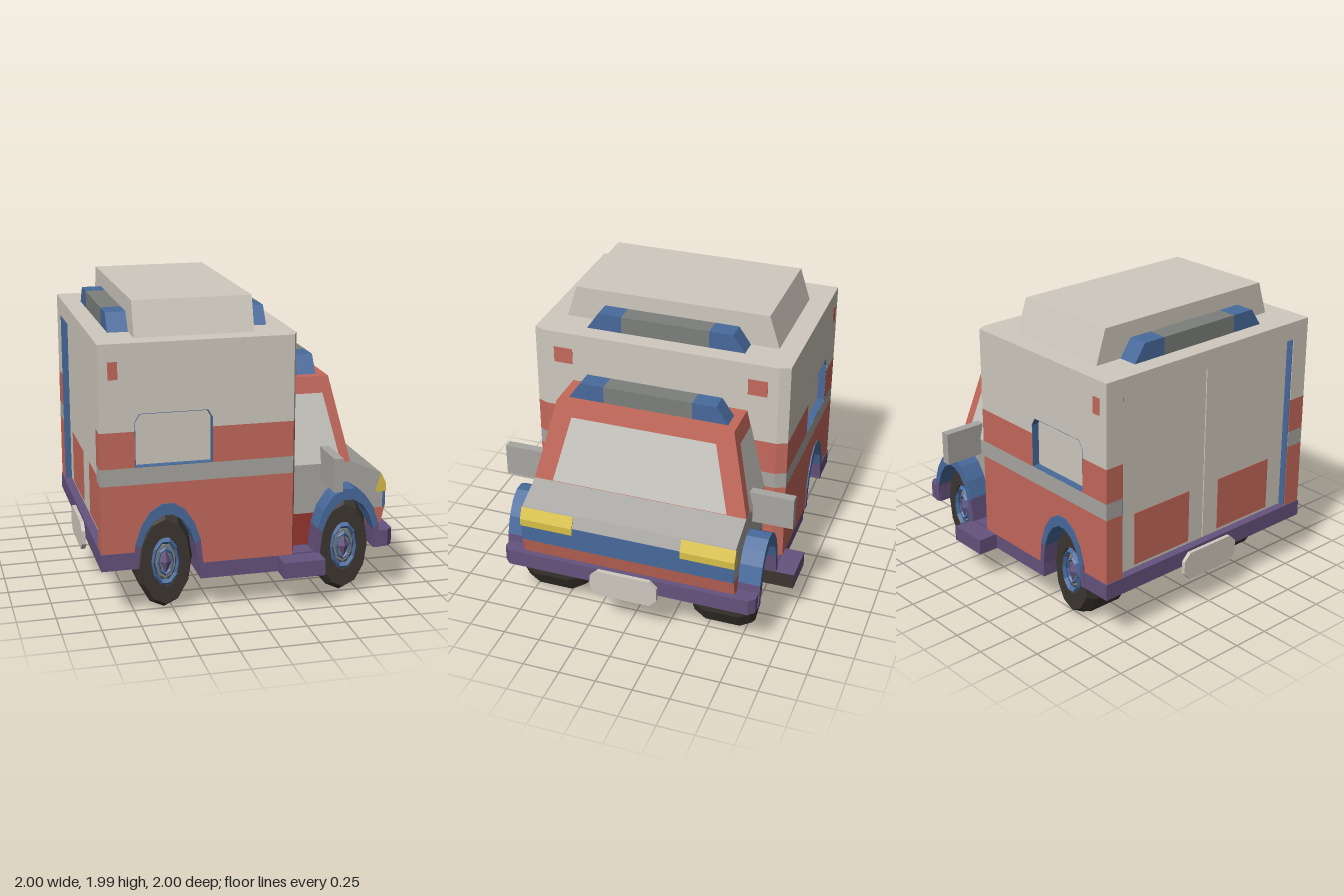
import * as THREE from 'three';

const C = {
  beige: 0xcfc9be, grey: 0xa8a6a2, glass: 0xcccac4, red: 0xc4695b, darkRed: 0x96362f, blue: 0x486a9c,
  purple: 0x65527d, dark: 0x3c3630, yellow: 0xd9c048, bar: 0x7c7f7c,
};

export function createModel() {
  const root = new THREE.Group();

  const mesh = (name, color, geo, parent = root) => {
    const m = new THREE.Mesh(geo, new THREE.MeshStandardMaterial({ color: C[color], flatShading: true }));
    m.name = name;
    parent.add(m);
    return m;
  };
  // box given by its limits
  const box = (name, color, x0, x1, y0, y1, z0, z1) =>
    mesh(name, color, new THREE.BoxGeometry(x1 - x0, y1 - y0, z1 - z0)
      .translate((x0 + x1) / 2, (y0 + y1) / 2, (z0 + z1) / 2));
  // same box on both sides
  const pair = (name, color, x0, x1, y0, y1, z0, z1) => {
    box(name, color, x0, x1, y0, y1, z0, z1);
    box(name, color, x0, x1, y0, y1, -z1, -z0);
  };
  const shape = (pts) => new THREE.Shape(pts.map(([x, y]) => new THREE.Vector2(x, y)));
  const extrude = (s, depth) => new THREE.ExtrudeGeometry(s, { depth, bevelEnabled: false });
  // side profile (x, y) extruded along z
  const prism = (name, color, pts, z0, z1, hole) => {
    const s = shape(pts);
    if (hole) s.holes.push(shape(hole));
    return mesh(name, color, extrude(s, z1 - z0).translate(0, 0, z0));
  };
  const prismPair = (name, color, pts, z0, z1, hole) => {
    prism(name, color, pts, z0, z1, hole);
    prism(name, color, pts, -z1, -z0, hole);
  };
  // symmetric plan (x, z) extruded upward
  const plan = (name, color, pts, y0, y1) =>
    mesh(name, color, extrude(shape(pts), y1 - y0).rotateX(-Math.PI / 2).translate(0, y0, 0));
  // box whose top is pulled in at the front and the sides
  const taper = (name, color, x0, x1, topX1, y0, y1, zb, zt) => {
    const g = new THREE.BoxGeometry(1, 1, 1);
    const p = g.attributes.position;
    for (let i = 0; i < p.count; i++) {
      const top = p.getY(i) > 0;
      p.setXYZ(i, p.getX(i) < 0 ? x0 : top ? topX1 : x1, top ? y1 : y0, Math.sign(p.getZ(i)) * (top ? zt : zb));
    }
    g.computeVertexNormals();
    return mesh(name, color, g);
  };
  const quad = (name, color, pts) => {
    const g = new THREE.BufferGeometry();
    g.setAttribute('position', new THREE.Float32BufferAttribute(pts.flat(), 3));
    g.setIndex([0, 1, 2, 0, 2, 3]);
    g.computeVertexNormals();
    mesh(name, color, g).material.side = THREE.DoubleSide;
  };
  // points of a wheel arch, from front to rear
  const arc = (cx, rx, ry, a0 = 0, a1 = Math.PI, n = 10) =>
    Array.from({ length: n + 1 }, (_, i) => {
      const a = a0 + (a1 - a0) * i / n;
      return [cx + rx * Math.cos(a), 0.34 + ry * Math.sin(a)];
    });

  const REAR = -0.55, FRONT = 0.635;

  // Rear box: coloured bands with wheel arch and window openings
  const win = [[-0.75, 1], [-0.26, 1], [-0.26, 1.29], [-0.29, 1.34], [-0.72, 1.34], [-0.75, 1.29]];
  const bands = [
    ['red', 0.34, 0.89], ['grey', 0.89, 1], ['red', 1, 1.23], ['beige', 1.23, 1.78],
  ];
  prism('lowerBand', 'red', [[-0.91, 0.34], [-0.91, 0.89], [0.25, 0.89], [0.25, 0.34], ...arc(REAR, 0.2, 0.36)], -0.87, 0.87);
  box('greyStripe', 'grey', -0.91, 0.25, 0.89, 1, -0.87, 0.87);
  box('upperStripe', 'red', -0.91, -0.75, 1, 1.23, -0.87, 0.87);
  box('upperStripe', 'red', -0.26, 0.25, 1, 1.23, -0.87, 0.87);
  prism('upperBand', 'beige', [[-0.91, 1.23], [-0.75, 1.23], [-0.75, 1.29], [-0.72, 1.34], [-0.29, 1.34],
    [-0.26, 1.29], [-0.26, 1.23], [0.25, 1.23], [0.25, 1.78], [-0.91, 1.78]], -0.87, 0.87);
  for (const [color, y0, y1] of bands) {
    plan('boxFront', color, [[0.25, -0.87], [0.26, -0.87], [0.29, -0.8], [0.29, 0.8], [0.26, 0.87], [0.25, 0.87]], y0, y1);
    pair('rearPillar', color, -0.97, -0.91, y0, y1, 0.74, 0.87);
  }
  box('rearHeader', 'beige', -0.97, -0.91, 1.66, 1.78, -0.74, 0.74);
  box('sideWindows', 'beige', -0.9, 0.24, 0.95, 1.4, -0.82, 0.82);
  prismPair('windowReveal', 'blue', win, 0.82, 0.869,
    win.map(([x, y]) => [-0.505 + (x + 0.505) * 0.984, 1.17 + (y - 1.17) * 0.98]));
  box('boxCore', 'dark', -0.9, 0.24, 0.3, 0.88, -0.42, 0.42);

  // Recessed rear doors
  pair('rearDoor', 'beige', -0.92, -0.9, 0.4, 1.66, 0.004, 0.74);
  pair('rearDoorPanel', 'red', -0.924, -0.91, 0.47, 0.83, 0.13, 0.6);
  pair('doorReveal', 'blue', -0.965, -0.91, 0.45, 1.66, 0.735, 0.742);

  // Marker lamps on the box
  pair('sideMarker', 'red', -0.91, -0.85, 1.56, 1.67, 0.86, 0.873);
  pair('frontMarker', 'red', 0.28, 0.293, 1.56, 1.67, 0.6, 0.73);

  // Roof unit and light bars
  taper('roofUnit', 'beige', -0.72, 0.04, 0.04, 1.78, 2, 0.73, 0.66);
  for (const [x0, x1, y0] of [[-0.85, -0.72, 1.78], [0.04, 0.17, 1.78], [0.38, 0.505, 1.44]]) {
    const y1 = y0 + 0.115;
    box('lightBarCentre', 'bar', x0, x1, y0, y1, -0.3, 0.3);
    for (const s of [1, -1]) {
      const end = [[0.3, y0], [0.54, y0], [0.46, y1], [0.3, y1]].map(([z, y]) => [-s * z, y]);
      mesh('lightBarLamp', 'blue', extrude(shape(end), x1 - x0).rotateY(Math.PI / 2).translate(x0, 0, 0));
    }
  }

  // Cab: lower body, bonnet, greenhouse
  prism('bonnet', 'grey', [[0.29, 0.56], [0.29, 0.89], [0.69, 0.89], [0.9, 0.8], [0.935, 0.72], [0.935, 0.56],
    ...arc(FRONT, 0.2, 0.36, 0.66, Math.PI - 0.66)], -0.73, 0.73);
  prism('cabSill', 'darkRed', [[0.29, 0.34], [0.44, 0.34], [0.475, 0.56], [0.29, 0.56]], -0.73, 0.73);
  prism('frontValance', 'red', [[0.82, 0.4], [0.9, 0.4], [0.91, 0.45], [0.935, 0.56], [0.79, 0.56]], -0.73, 0.73);
  box('cabCore', 'dark', 0.28, 0.88, 0.3, 0.75, -0.42, 0.42);
  box('grille', 'blue', 0.92, 0.939, 0.56, 0.72, -0.73, 0.73);
  prismPair('headlamp', 'yellow', [[0.87, 0.67], [0.943, 0.67], [0.943, 0.72], [0.908, 0.795]], 0.37, 0.734);
  taper('cabin', 'red', 0.29, 0.69, 0.57, 0.89, 1.44, 0.73, 0.6);

  // Windscreen and side glass lie on the sloping cabin faces
  const fx = (y) => 0.694 - 0.12 * (y - 0.89) / 0.55;
  const sz = (y) => 0.734 - 0.13 * (y - 0.89) / 0.55;
  quad('windscreen', 'glass', [[fx(0.895), 0.895, 0.6], [fx(0.895), 0.895, -0.6], [fx(1.345), 1.345, -0.49], [fx(1.345), 1.345, 0.49]]);
  for (const s of [1, -1]) {
    quad('sideGlass', 'glass', [[0.292, 0.89], [0.625, 0.89], [0.525, 1.335], [0.292, 1.335]].map(([x, y]) => [x, y, s * sz(y)]));
  }
  pair('mirror', 'grey', 0.49, 0.55, 0.78, 1, 0.7, 1);

  // Chassis, side steps and bumpers
  box('chassis', 'purple', -0.73, 0.81, 0.23, 0.34, -0.47, 0.47);
  box('chassisMiddle', 'purple', -0.34, 0.4, 0.23, 0.345, -0.86, 0.86);
  box('sideStep', 'purple', 0.17, 0.445, 0.23, 0.335, -1, 1);
  pair('mudFlap', 'dark', 0.445, 0.45, 0.23, 0.335, 0.47, 1);
  plan('frontBumper', 'purple', [[0.81, -0.87], [0.91, -0.87], [0.95, -0.83], [0.95, 0.83], [0.91, 0.87], [0.81, 0.87]], 0.34, 0.45);
  box('rearBumper', 'purple', -0.975, -0.735, 0.34, 0.45, -0.875, 0.875);
  for (const [x, y] of [[0.97, 0.375], [-1, 0.335]]) {
    const oct = [[-0.18, -0.095], [0.18, -0.095], [0.23, -0.045], [0.23, 0.045], [0.18, 0.095], [-0.18, 0.095], [-0.23, 0.045], [-0.23, -0.045]];
    mesh('bumperPlate', 'beige', extrude(shape(oct), 0.03).rotateY(Math.PI / 2).translate(x, y, 0));
  }

  // Wheel arches: blue over the top, purple at the feet
  const arch = (cx, color, a0, a1, n) =>
    prismPair('wheelArch', color, [...arc(cx, 0.225, 0.42, a0, a1, n), ...arc(cx, 0.188, 0.345, a0, a1, n).reverse()], 0.46, 0.878);
  for (const cx of [REAR, FRONT]) {
    arch(cx, 'purple', 0, 0.4, 1);
    arch(cx, 'blue', 0.4, Math.PI - 0.4, 7);
    arch(cx, 'purple', Math.PI - 0.4, Math.PI, 1);
  }

  // Wheels, narrowed along x
  const lathe = (pts) => new THREE.LatheGeometry(pts.map(([r, z]) => new THREE.Vector2(r, z)), 12).rotateX(Math.PI / 2);
  for (const cx of [REAR, FRONT]) {
    for (const turn of [0, Math.PI]) {
      const wheel = new THREE.Group();
      wheel.name = 'wheel';
      wheel.position.set(cx, 0.34, 0);
      wheel.rotation.y = turn;
      wheel.scale.x = 0.56;
      root.add(wheel);
      const tyre = mesh('tyre', 'dark', lathe([[0, 0.4], [0.28, 0.4], [0.333, 0.48], [0.333, 0.72], [0.285, 0.8], [0.17, 0.8], [0.16, 0.76], [0, 0.76]]), wheel);
      tyre.material.side = THREE.DoubleSide;
      mesh('rim', 'blue', new THREE.TorusGeometry(0.145, 0.022, 4, 10).translate(0, 0, 0.79), wheel);
      mesh('wheelDisc', 'bar', new THREE.CylinderGeometry(0.115, 0.13, 0.02, 10).rotateX(Math.PI / 2).translate(0, 0, 0.775), wheel);
      mesh('hubRing', 'blue', new THREE.TorusGeometry(0.085, 0.014, 4, 8).translate(0, 0, 0.787), wheel);
      mesh('hub', 'purple', new THREE.OctahedronGeometry(0.07).scale(1, 1.2, 0.4).translate(0, 0, 0.79), wheel);
    }
  }
  return root;
}
